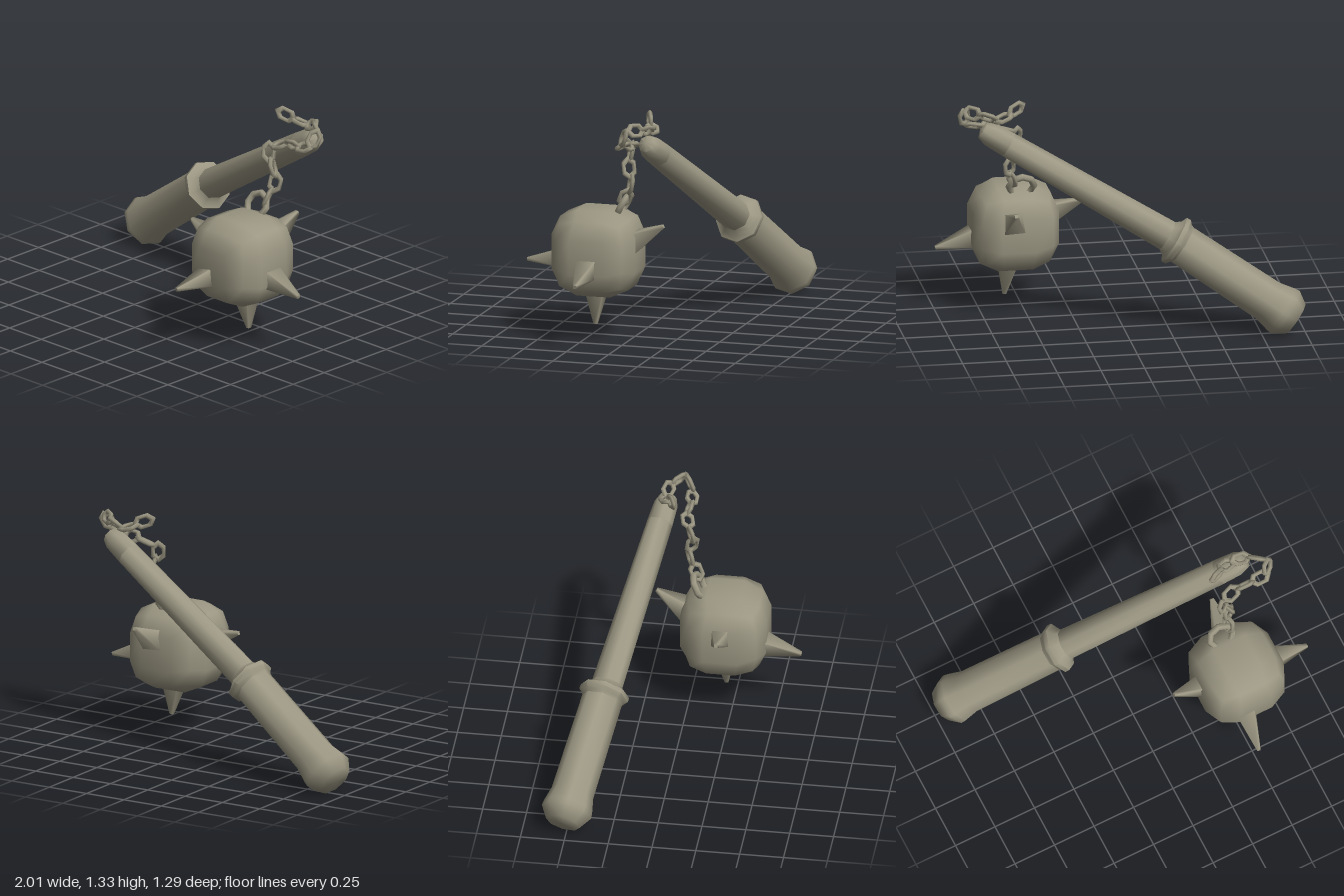
import * as THREE from 'three';
import { mergeVertices, toCreasedNormals } from 'three/addons/utils/BufferGeometryUtils.js';

const metal = new THREE.MeshStandardMaterial({ color: 0x9c9783 });
metal.name = 'dull metal';
const UP = new THREE.Vector3(0, 1, 0);
const V = (a) => new THREE.Vector3(...a);

function add(parent, name, geometry) {
  const mesh = new THREE.Mesh(geometry, metal);
  mesh.name = name;
  parent.add(mesh);
  return mesh;
}

// Eight-sided turned part; profile is [radius, distance] along the line from a to b
function turned(parent, name, a, b, profile) {
  const geo = new THREE.LatheGeometry(profile.map(([r, s]) => new THREE.Vector2(r, s)), 8);
  const mesh = add(parent, name, toCreasedNormals(geo, 1));
  mesh.position.copy(V(a));
  mesh.quaternion.setFromUnitVectors(UP, V(b).sub(V(a)).normalize());
}

// Blocky rounded ball
function ballGeometry(radius) {
  const box = new THREE.BoxGeometry(2, 2, 2, 3, 3, 3);
  box.deleteAttribute('uv');
  box.deleteAttribute('normal');
  const geo = mergeVertices(box);
  const p = geo.attributes.position;
  const v = new THREE.Vector3();
  for (let i = 0; i < p.count; i++) {
    v.fromBufferAttribute(p, i);
    for (const k of ['x', 'y', 'z']) if (Math.abs(v[k]) < 0.9) v[k] *= 1.2;
    const n = Math.cbrt(Math.abs(v.x) ** 3 + Math.abs(v.y) ** 3 + Math.abs(v.z) ** 3);
    v.multiplyScalar(radius / n);
    p.setXYZ(i, v.x, v.y, v.z);
  }
  geo.computeVertexNormals();
  return geo;
}

// Four-sided spike running from base to tip
function spike(parent, base, tip) {
  const dir = V(tip).sub(V(base));
  const length = dir.length();
  const geo = new THREE.CylinderGeometry(0.014, 0.082, length, 4, 1);
  geo.rotateY(Math.PI / 4);
  geo.translate(0, length / 2, 0);
  const mesh = add(parent, 'spike', geo);
  mesh.position.copy(V(base));
  mesh.quaternion.setFromUnitVectors(UP, dir.normalize());
}

export function createModel() {
  const model = new THREE.Group();
  model.name = 'flail';

  // Handle
  const handle = new THREE.Group();
  handle.name = 'handle';
  model.add(handle);
  const butt = [-0.945, 0.09, -0.515];
  const joint = [-0.285, 0.545, -0.373];
  const end = [0.8, 1.2, -0.155];
  turned(handle, 'grip', butt, joint,
    [[0, -0.01], [0.1, 0], [0.145, 0.07], [0.142, 0.1], [0.122, 0.19], [0.116, 0.8], [0, 0.8]]);
  turned(handle, 'collar', joint, end,
    [[0.112, -0.05], [0.122, -0.03], [0.143, -0.012], [0.143, 0.014], [0.11, 0.03], [0.088, 0.06]]);
  turned(handle, 'shaft', joint, end, [[0.09, 0], [0.073, 1.1]]);
  turned(handle, 'shaftTip', joint, end, [[0.073, 1.1], [0.068, 1.22], [0.05, 1.27], [0, 1.286]]);

  // Spiked ball
  const head = new THREE.Group();
  head.name = 'spikedBall';
  model.add(head);
  const center = [0.555, 0.505, 0.2];
  add(head, 'ball', ballGeometry(0.257)).position.copy(V(center));
  spike(head, [0.36, 0.56, 0.2], [0.157, 0.627, 0.2]);
  spike(head, [0.77, 0.445, 0.2], [1.0, 0.385, 0.2]);
  spike(head, [0.585, 0.3, 0.2], [0.605, 0.09, 0.2]);
  spike(head, [0.505, 0.44, 0.4], [0.47, 0.408, 0.645]);
  spike(head, [0.585, 0.575, -0.02], [0.6, 0.68, -0.2]);

  // Chain
  const chain = new THREE.Group();
  chain.name = 'chain';
  model.add(chain);
  const ring = add(chain, 'ballRing', new THREE.TorusGeometry(0.072, 0.02, 6, 8));
  ring.position.set(0.53, 0.775, 0.055);
  ring.rotation.set(-0.5, 0, 0);

  const path = new THREE.CatmullRomCurve3([
    [0.59, 0.83, 0.03], [0.61, 0.92, -0.01], [0.6, 1.02, 0.005], [0.57, 1.1, 0.0],
    [0.65, 1.15, -0.03], [0.75, 1.17, -0.03], [0.85, 1.19, -0.03], [0.875, 1.27, -0.07],
    [0.79, 1.27, -0.14], [0.69, 1.25, -0.16], [0.59, 1.29, -0.115]].map(V));
  const linkGeometry = new THREE.TorusGeometry(0.034, 0.0135, 5, 6);
  linkGeometry.scale(1.5, 1, 1);
  linkGeometry.rotateZ(Math.PI / 2);
  const count = 12;
  for (let i = 0; i < count; i++) {
    const u = i / (count - 1);
    const link = add(chain, 'chainLink', linkGeometry);
    link.position.copy(path.getPointAt(u));
    link.quaternion.setFromUnitVectors(UP, path.getTangentAt(u));
    link.rotateY(i % 2 ? 0.5 : 0.5 + Math.PI / 2);
  }
  return model;
}
